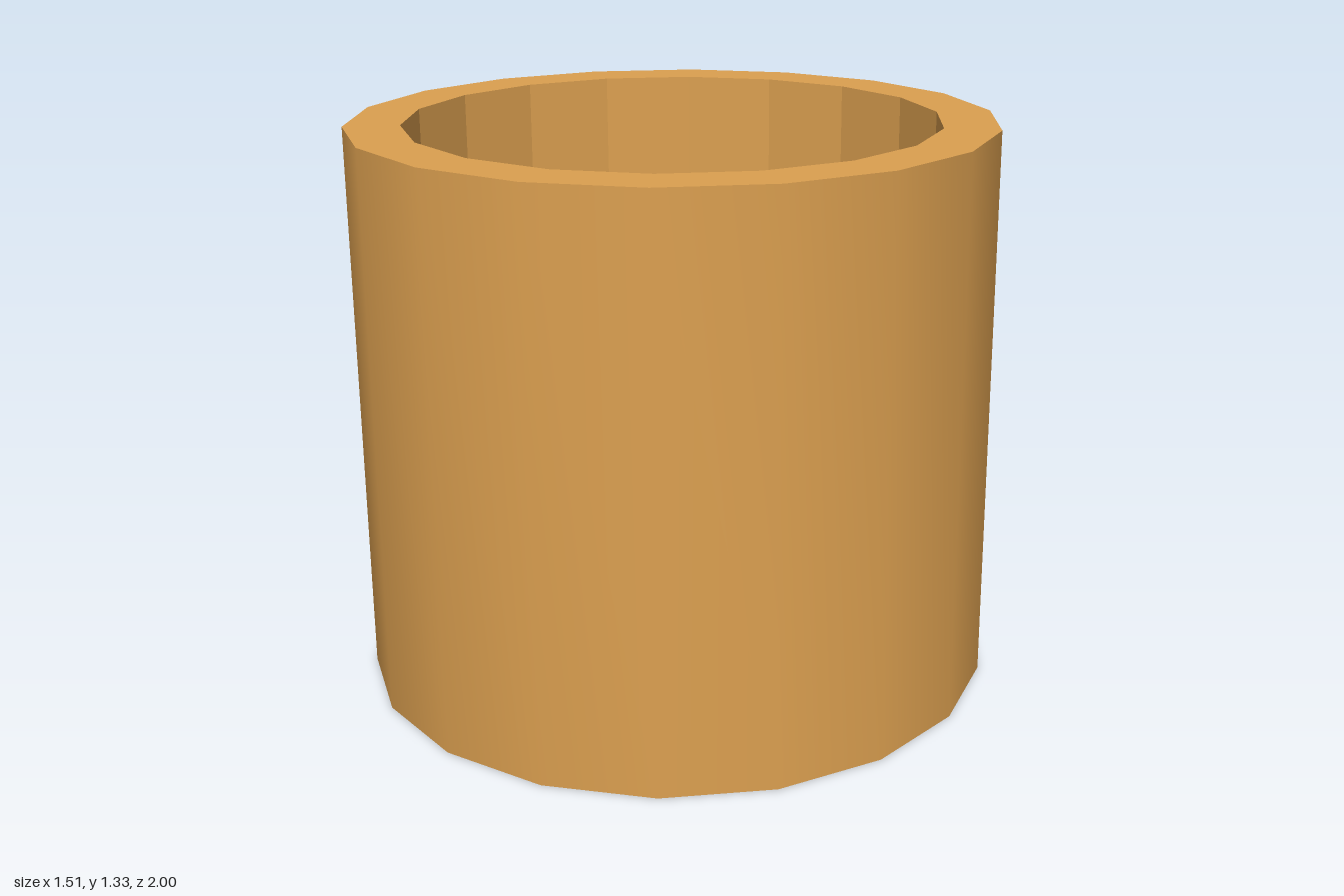
import * as THREE from 'three';
import { toCreasedNormals } from 'three/addons/utils/BufferGeometryUtils.js';

const SIDES = 18;
const OUTER = 0.755, INNER = 0.625, HEIGHT = 1.333, FLOOR = 0.13;
const CUP_Z = 0.256;

export function createModel() {
  const group = new THREE.Group();
  group.name = 'mug';
  const clay = new THREE.MeshStandardMaterial({ color: 0xdca050 });
  clay.name = 'tan clay';

  const add = (name, geometry, x, y, z) => {
    const mesh = new THREE.Mesh(geometry, clay);
    mesh.name = name;
    mesh.position.set(x, y, z);
    group.add(mesh);
  };

  // Turned surface, with a corner of the polygon pointing along +x
  const turn = (profile, crease) => toCreasedNormals(
    new THREE.LatheGeometry(profile.map(([r, y]) => new THREE.Vector2(r, y)), SIDES, Math.PI / 2),
    crease
  );

  // Base, smooth outer wall and flat rim
  add('cupBody', turn([[0, 0], [OUTER, 0], [OUTER, HEIGHT], [INNER, HEIGHT]], 0.5), 0, 0, CUP_Z);

  // Faceted inner wall and floor
  add('cupInterior', turn([[INNER, HEIGHT], [INNER, FLOOR], [0, FLOOR]], 0.1), 0, 0, CUP_Z);

  // Solid block handle at the back
  add('handle', new THREE.BoxGeometry(0.262, 0.775, 0.513), 0, 0.678, -0.7435);

  return group;
}
